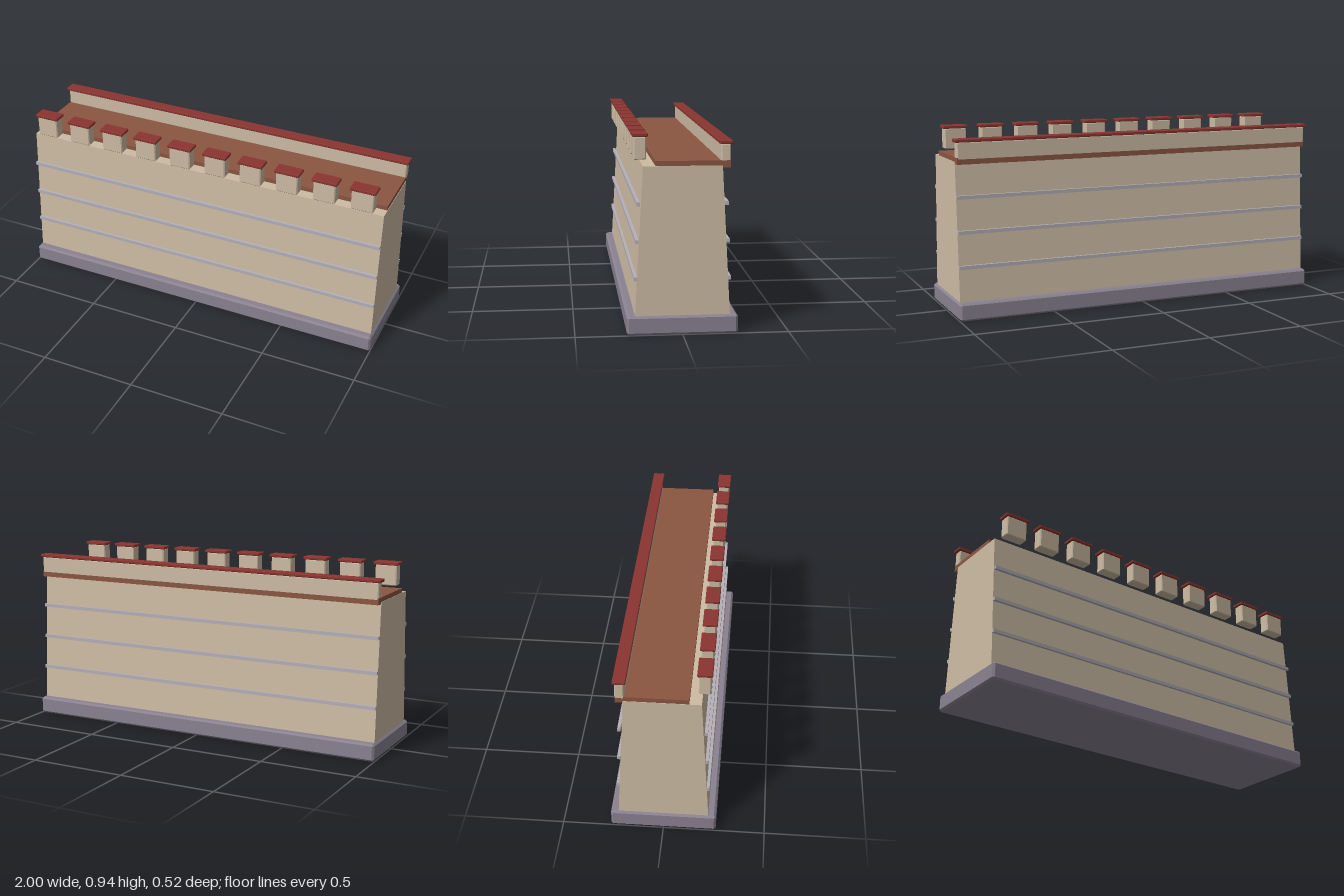
import * as THREE from 'three';
import { ConvexGeometry } from 'three/addons/geometries/ConvexGeometry.js';

const flat = (name, color) => new THREE.MeshStandardMaterial({ name, color });

// Box with every edge chamfered by c, centred on its own origin
function chamferBox(w, h, d, c) {
  const pts = [];
  for (const sx of [-1, 1]) for (const sy of [-1, 1]) for (const sz of [-1, 1]) {
    const x = w / 2, y = h / 2, z = d / 2;
    pts.push(
      new THREE.Vector3(sx * x, sy * (y - c), sz * (z - c)),
      new THREE.Vector3(sx * (x - c), sy * y, sz * (z - c)),
      new THREE.Vector3(sx * (x - c), sy * (y - c), sz * z));
  }
  return new ConvexGeometry(pts);
}

export function createModel() {
  const sandstone = flat('sandstone', 0xcdbca4);
  const baseStone = flat('base stone', 0x8a8291);
  const bandStone = flat('band stone', 0xb5b0b8);
  const redTile = flat('red tile', 0x8a3530);
  const brick = flat('walkway brick', 0x8a5642);

  const model = new THREE.Group();
  model.name = 'battlementWall';

  const add = (name, geometry, material, x, y, z, parent = model) => {
    const mesh = new THREE.Mesh(geometry, material);
    mesh.name = name;
    mesh.position.set(x, y, z);
    parent.add(mesh);
    return mesh;
  };

  // Plinth
  add('base', chamferBox(2, 0.09, 0.52, 0.01), baseStone, 0, 0.045, 0);

  // Wall with battered front and back faces
  const section = new THREE.Shape([
    new THREE.Vector2(-0.222, 0.085), new THREE.Vector2(0.222, 0.085),
    new THREE.Vector2(0.183, 0.79), new THREE.Vector2(-0.183, 0.79),
  ]);
  const wall = new THREE.ExtrudeGeometry(section, { depth: 1.98, bevelEnabled: false });
  wall.translate(0, 0, -0.99).rotateY(-Math.PI / 2);
  add('wall', wall, sandstone, 0, 0, 0);

  // Stone courses along both faces
  const bandGeometry = new THREE.BoxGeometry(1.98, 0.018, 0.015);
  [[0.265, 0.218], [0.44, 0.211], [0.615, 0.205]].forEach(([y, z]) => {
    add('frontBand', bandGeometry, bandStone, 0, y, z);
    add('backBand', bandGeometry, bandStone, 0, y, -z);
  });

  // Walkway, overhanging at the back
  add('walkway', new THREE.BoxGeometry(1.976, 0.033, 0.345), brick, 0, 0.7965, -0.0475);

  // Rear parapet and coping
  add('parapet', chamferBox(1.976, 0.09, 0.045, 0.005), sandstone, 0, 0.846, -0.198);
  add('parapetCoping', chamferBox(1.996, 0.016, 0.062, 0.003), redTile, 0, 0.897, -0.198);

  // Front row of capped merlons
  const blockGeometry = chamferBox(0.115, 0.108, 0.058, 0.005);
  const capGeometry = chamferBox(0.132, 0.016, 0.072, 0.003);
  for (let i = 0; i < 10; i++) {
    const merlon = new THREE.Group();
    merlon.name = 'merlon';
    merlon.position.set((i - 4.5) * 0.197, 0, 0.193);
    add('merlonBlock', blockGeometry, sandstone, 0, 0.868, 0, merlon);
    add('merlonCap', capGeometry, redTile, 0, 0.928, 0, merlon);
    model.add(merlon);
  }

  return model;
}
